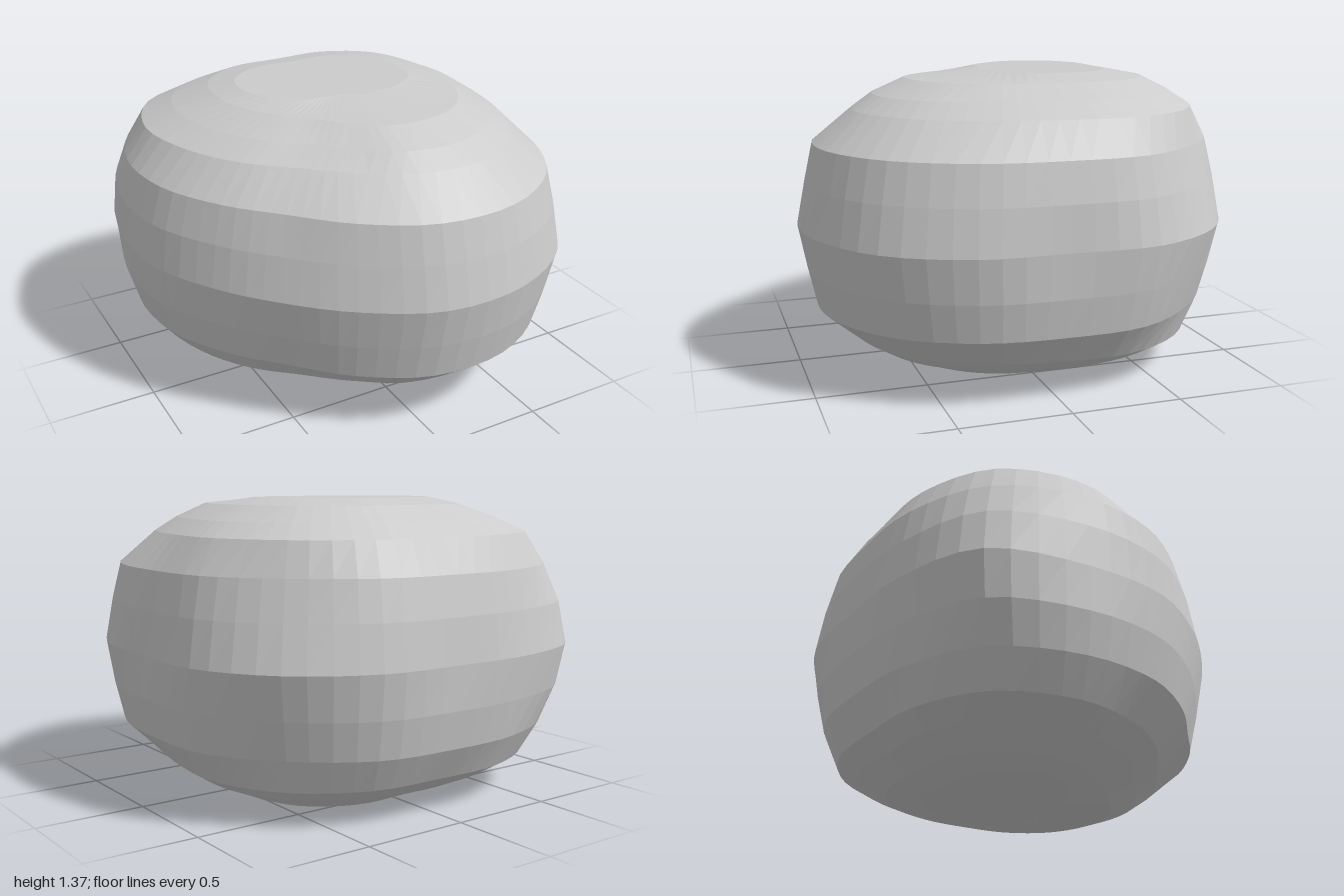
import * as THREE from 'three';

const MID = 0.685; // height of the widest girth
const SEGMENTS = 64;

// Half the body, girth to crown: height above the girth and the outline radius
// at 16 equal turns, starting at +x and turning towards +z.
const LEVELS = [
  [0, [0.975, 1.035, 1.08, 1.05, 0.985, 0.88, 0.83, 0.86, 0.955, 1.045, 1.17, 1.07, 1.0, 1.05, 1.075, 1.05]],
  [0.2, [0.965, 1.005, 1.04, 1.015, 0.945, 0.84, 0.79, 0.83, 0.935, 1.035, 1.13, 1.04, 0.985, 1.02, 1.02, 1.015]],
  [0.375, [0.935, 0.965, 0.995, 0.975, 0.905, 0.8, 0.74, 0.785, 0.885, 0.985, 1.055, 1.0, 0.95, 0.98, 0.97, 0.975]],
  [0.525, [0.81, 0.8, 0.82, 0.795, 0.715, 0.62, 0.59, 0.65, 0.75, 0.885, 0.965, 0.92, 0.86, 0.9, 0.915, 0.88]],
  [0.59, [0.71, 0.7, 0.715, 0.69, 0.62, 0.51, 0.48, 0.53, 0.61, 0.73, 0.82, 0.81, 0.76, 0.8, 0.81, 0.77]],
  [0.655, [0.57, 0.57, 0.56, 0.52, 0.465, 0.38, 0.34, 0.37, 0.44, 0.54, 0.64, 0.66, 0.62, 0.67, 0.68, 0.62]],
  [0.685, [0.4, 0.28, 0.18, 0.13, 0.1, 0.1, 0.12, 0.2, 0.28, 0.42, 0.5, 0.5, 0.46, 0.5, 0.5, 0.46]],
];

// Closed smooth outline through the radii of one level
function outline(radii) {
  const points = radii.map((r, i) => {
    const a = (i / radii.length) * Math.PI * 2;
    return new THREE.Vector3(r * Math.cos(a), 0, r * Math.sin(a));
  });
  const curve = new THREE.CatmullRomCurve3(points, true, 'centripetal');
  return Array.from({ length: SEGMENTS }, (_, i) => curve.getPoint(i / SEGMENTS));
}

// Skin over the stacked outlines, closed at both ends
function loft(rings) {
  const positions = [];
  const index = [];
  for (const ring of rings) for (const p of ring) positions.push(p.x, p.y, p.z);
  for (let r = 0; r < rings.length - 1; r++) {
    for (let i = 0; i < SEGMENTS; i++) {
      const j = (i + 1) % SEGMENTS;
      const a = r * SEGMENTS + i, b = r * SEGMENTS + j;
      index.push(a, a + SEGMENTS, b, b, a + SEGMENTS, b + SEGMENTS);
    }
  }
  const last = (rings.length - 1) * SEGMENTS;
  const bottom = rings.length * SEGMENTS;
  positions.push(0, rings[0][0].y, -0.1, 0, rings[rings.length - 1][0].y, -0.1);
  for (let i = 0; i < SEGMENTS; i++) {
    const j = (i + 1) % SEGMENTS;
    index.push(bottom, i, j, bottom + 1, last + j, last + i);
  }
  const geometry = new THREE.BufferGeometry();
  geometry.setAttribute('position', new THREE.Float32BufferAttribute(positions, 3));
  geometry.setIndex(index);
  geometry.computeVertexNormals();
  return geometry;
}

export function createModel() {
  const group = new THREE.Group();
  group.name = 'roundedStone';

  // The lower half mirrors the upper half about the girth
  const ringAt = ([h, radii], side) =>
    outline(radii).map((p) => p.setY(MID + side * h));
  const lower = LEVELS.slice(1).reverse().map((level) => ringAt(level, -1));
  const upper = LEVELS.map((level) => ringAt(level, 1));

  const body = new THREE.Mesh(
    loft([...lower, ...upper]),
    new THREE.MeshStandardMaterial({ color: 0xcccccc, flatShading: true })
  );
  body.name = 'threeLobedBody';
  group.add(body);
  return group;
}
